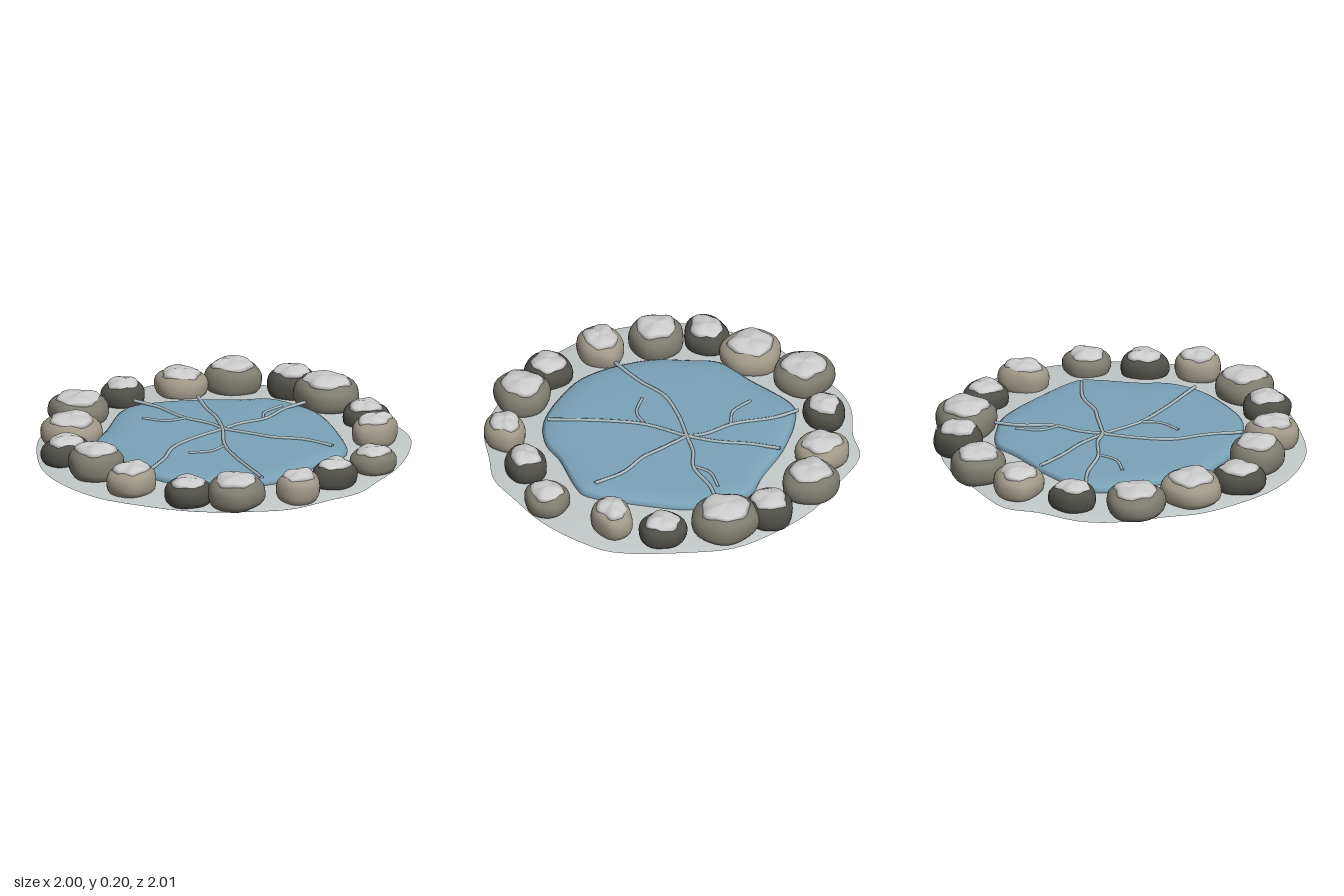
import * as THREE from 'three';

const mat = (color) => new THREE.MeshStandardMaterial({ color, side: THREE.DoubleSide });

// Closed smooth outline through [x, z] points
function outline(points, n) {
  const curve = new THREE.CatmullRomCurve3(points.map(([x, z]) => new THREE.Vector3(x, 0, z)), true);
  return curve.getPoints(n).slice(0, n).map((p) => [p.x, p.z]);
}

// Skin through scaled copies of an outline; rings run from the top centre to the bottom centre
function loft(shape, rings, wobble = () => [1, 0]) {
  const n = shape.length, pos = [], index = [];
  rings.forEach(([s, y], i) => shape.forEach(([x, z], j) => {
    const [k, dy] = wobble((j / n) * Math.PI * 2, i);
    pos.push(x * s * k, y + dy * (s > 0 ? 1 : 0), z * s * k);
  }));
  for (let i = 0; i < rings.length - 1; i++) {
    for (let j = 0; j < n; j++) {
      const a = i * n + j, b = i * n + (j + 1) % n;
      if (rings[i][0] > 0) index.push(a, b, a + n);
      if (rings[i + 1][0] > 0) index.push(b, b + n, a + n);
    }
  }
  const g = new THREE.BufferGeometry();
  g.setAttribute('position', new THREE.Float32BufferAttribute(pos, 3));
  g.setIndex(index);
  g.computeVertexNormals();
  return g;
}

function ellipse(rx, rz, n) {
  return Array.from({ length: n }, (_, j) => {
    const a = (j / n) * Math.PI * 2;
    return [rx * Math.cos(a), rz * Math.sin(a)];
  });
}

export function createModel() {
  const model = new THREE.Group();
  const add = (name, geometry, material, parent = model) => {
    const mesh = new THREE.Mesh(geometry, material);
    mesh.name = name;
    parent.add(mesh);
    return mesh;
  };

  // Low snowy bank under everything
  const bank = outline([
    [0.08, -1], [0.3, -0.93], [0.49, -0.9], [0.69, -0.68], [0.84, -0.5], [0.95, -0.24], [1, 0],
    [0.95, 0.25], [0.81, 0.62], [0.66, 0.76], [0.43, 0.89], [0.18, 0.96], [0, 1], [-0.18, 0.96],
    [-0.42, 0.9], [-0.61, 0.75], [-0.8, 0.54], [-0.93, 0.26], [-1, 0], [-0.96, -0.32],
    [-0.85, -0.53], [-0.57, -0.8], [-0.4, -0.87], [-0.1, -0.99],
  ], 96);
  add('snowBank', loft(bank, [[0, 0.05], [0.6, 0.05], [0.8, 0.034], [0.93, 0.024], [1, 0.016], [0.99, 0.011], [0, 0.011]]),
    mat(0xc3c9c9));

  // Ice sheet with a softly rounded rim
  const pond = outline([
    [0, -0.7], [0.12, -0.67], [0.35, -0.51], [0.51, -0.34], [0.64, -0.22], [0.665, -0.05], [0.65, 0.11],
    [0.5, 0.39], [0.33, 0.61], [0.25, 0.63], [0, 0.63], [-0.16, 0.65], [-0.32, 0.6], [-0.48, 0.46],
    [-0.62, 0.25], [-0.64, -0.1], [-0.56, -0.32], [-0.49, -0.46], [-0.29, -0.56],
  ], 96);
  add('ice', loft(pond, [[0, 0.084], [0.8, 0.084], [0.9, 0.08], [0.97, 0.071], [1, 0.058], [0.99, 0.02], [0, 0.02]]),
    mat(0x7ba3b8));

  // Cracks: five arms from one point, three with a side branch
  const cracks = new THREE.Group();
  cracks.name = 'iceCracks';
  model.add(cracks);
  const hub = [0.085, -0.065];
  const crackMat = mat(0xa9bcc4);
  [
    [hub, [0.1, -0.16], [0.07, -0.34], [0.095, -0.55], [0.08, -0.7]],
    [[0.07, -0.32], [-0.03, -0.37], [-0.085, -0.49]],
    [hub, [0.19, -0.21], [0.26, -0.35], [0.355, -0.495]],
    [hub, [0.22, -0.05], [0.35, -0.005], [0.54, -0.03], [0.68, -0.015]],
    [[0.34, -0.01], [0.42, -0.07], [0.555, -0.07]],
    [hub, [0.15, 0.14], [0.17, 0.21], [0.26, 0.36], [0.295, 0.535]],
    [hub, [-0.09, 0.11], [-0.18, 0.27], [-0.25, 0.43], [-0.31, 0.58]],
    [[-0.1, 0.11], [-0.2, 0.115], [-0.305, 0.045]],
    [hub, [-0.1, -0.085], [-0.29, -0.075], [-0.45, 0.005], [-0.645, 0.07]],
  ].forEach((path, i) => {
    const curve = new THREE.CatmullRomCurve3(path.map(([x, z]) => new THREE.Vector3(x, 0.086, z)));
    add('crack' + (i + 1), new THREE.TubeGeometry(curve, 24, path[0] === hub ? 0.01 : 0.008, 6), crackMat, cracks);
  });

  // Stone ring: x, z, half width, half depth, total height, tone
  const tones = [mat(0x4f4e48), mat(0x7d7a6f), mat(0x9f9888)];
  const snow = mat(0xcccccc);
  [
    [-0.21, -0.84, 0.16, 0.165, 0.175, 1], [-0.48, -0.64, 0.165, 0.165, 0.18, 2],
    [-0.71, -0.47, 0.145, 0.12, 0.165, 0], [-0.765, -0.205, 0.145, 0.15, 0.2, 1],
    [-0.805, 0.095, 0.145, 0.125, 0.18, 2], [-0.72, 0.425, 0.13, 0.13, 0.16, 0],
    [-0.57, 0.63, 0.16, 0.15, 0.185, 1], [-0.29, 0.83, 0.125, 0.11, 0.185, 2],
    [0, 0.82, 0.13, 0.112, 0.165, 0], [0.31, 0.815, 0.13, 0.122, 0.15, 1],
    [0.61, 0.555, 0.138, 0.108, 0.185, 2], [0.78, 0.33, 0.123, 0.13, 0.155, 0],
    [0.835, -0.005, 0.165, 0.185, 0.2, 1], [0.835, -0.255, 0.133, 0.13, 0.19, 0],
    [0.685, -0.545, 0.15, 0.155, 0.195, 1], [0.445, -0.7, 0.135, 0.15, 0.17, 2],
    [0.13, -0.83, 0.127, 0.112, 0.165, 0],
  ].forEach(([x, z, rx, rz, h, tone], i) => {
    const stone = new THREE.Group();
    stone.name = 'stone' + (i + 1);
    stone.position.set(x, 0, z);
    model.add(stone);
    const lump = (a) => 1 + 0.025 * Math.sin(3 * a + i * 2.1) + 0.02 * Math.sin(5 * a + i * 3.7);

    // Squarish rounded body
    const half = (h - 0.02) / 2, rings = [];
    for (let k = 0; k <= 14; k++) {
      const t = (k / 14) * Math.PI, c = Math.cos(t);
      const r = k % 14 ? Math.sin(t) ** 0.6 : 0;
      rings.push([r, half + Math.sign(c) * Math.abs(c) ** 0.8 * half]);
    }
    add('stoneBody', loft(ellipse(rx, rz, 28), rings, (a, k) => [
      lump(a) + 0.015 * Math.sin(2 * a + k * 0.7 + i), 0.003 * Math.sin(2 * a + i)]), tones[tone], stone);

    // Uneven snow cap
    const cap = [[0, h], [0.3, h - 0.003], [0.52, h - 0.009], [0.66, h - 0.02], [0.74, h - 0.037], [0.6, h - 0.05], [0, h - 0.05]];
    add('snowCap', loft(ellipse(rx, rz, 28), cap, (a, k) => [
      lump(a) + 0.05 * Math.sin(4 * a + i * 1.3) + 0.03 * Math.sin(7 * a + i),
      0.004 * Math.sin(3 * a + i * 1.9 + k * 0.4)]), snow, stone);
  });

  return model;
}
